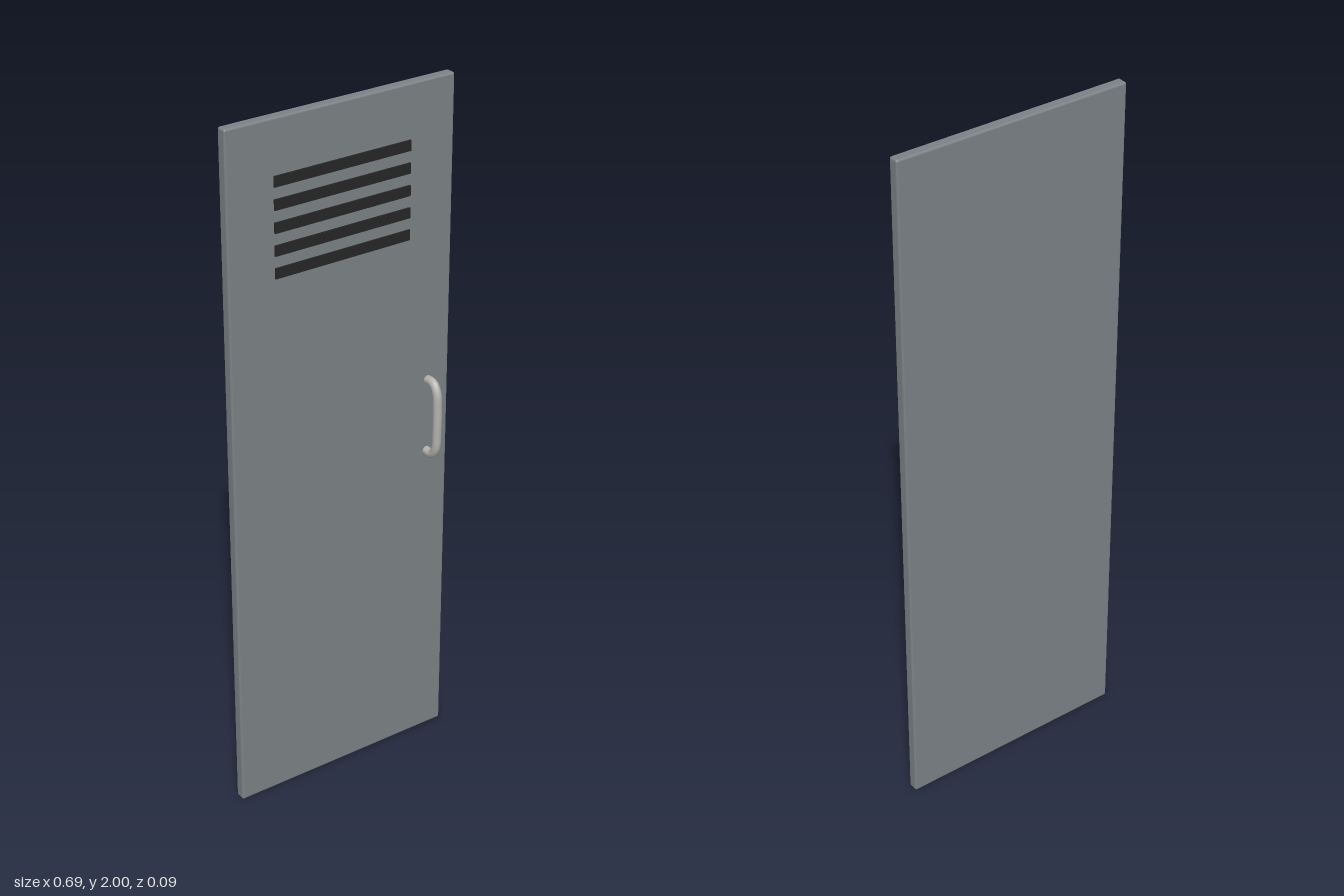
import * as THREE from 'three';
import { RoundedBoxGeometry } from 'three/addons/geometries/RoundedBoxGeometry.js';

const material = (name, color) => {
  const m = new THREE.MeshStandardMaterial({ color });
  m.name = name;
  return m;
};

export function createModel() {
  const paint = material('grey paint', 0x7b8285);
  const dark = material('dark slot', 0x262626);
  const metal = material('brushed metal', 0xb4b2ae);
  const group = new THREE.Group();
  group.name = 'lockerDoor';

  const add = (name, geometry, mat, x, y, z) => {
    const mesh = new THREE.Mesh(geometry, mat);
    mesh.name = name;
    mesh.position.set(x, y, z);
    group.add(mesh);
    return mesh;
  };

  // Door panel with softly rounded edges
  const faceZ = -0.015;
  add('doorPanel', new RoundedBoxGeometry(0.686, 2, 0.031, 2, 0.006), paint, 0, 1, -0.0305);

  // Five ventilation slots near the top
  for (let i = 0; i < 5; i++) {
    add('ventSlot' + (i + 1), new THREE.BoxGeometry(0.412, 0.029, 0.006), dark,
      0, 1.59 + i * 0.0615, faceZ + 0.002);
  }

  // Bowed pull handle: upper half of the path, mirrored about its middle
  const half = [[0.109, -0.018], [0.11, 0.006], [0.104, 0.017], [0.082, 0.029], [0.04, 0.032]];
  const path = [...half, [0, 0.033], ...half.slice().reverse().map(([y, z]) => [-y, z])]
    .map(([y, z]) => new THREE.Vector3(0, y, z));
  const curve = new THREE.CatmullRomCurve3(path);
  add('pullHandle', new THREE.TubeGeometry(curve, 32, 0.0125, 10), metal, 0.275, 1.038, 0);

  return group;
}
